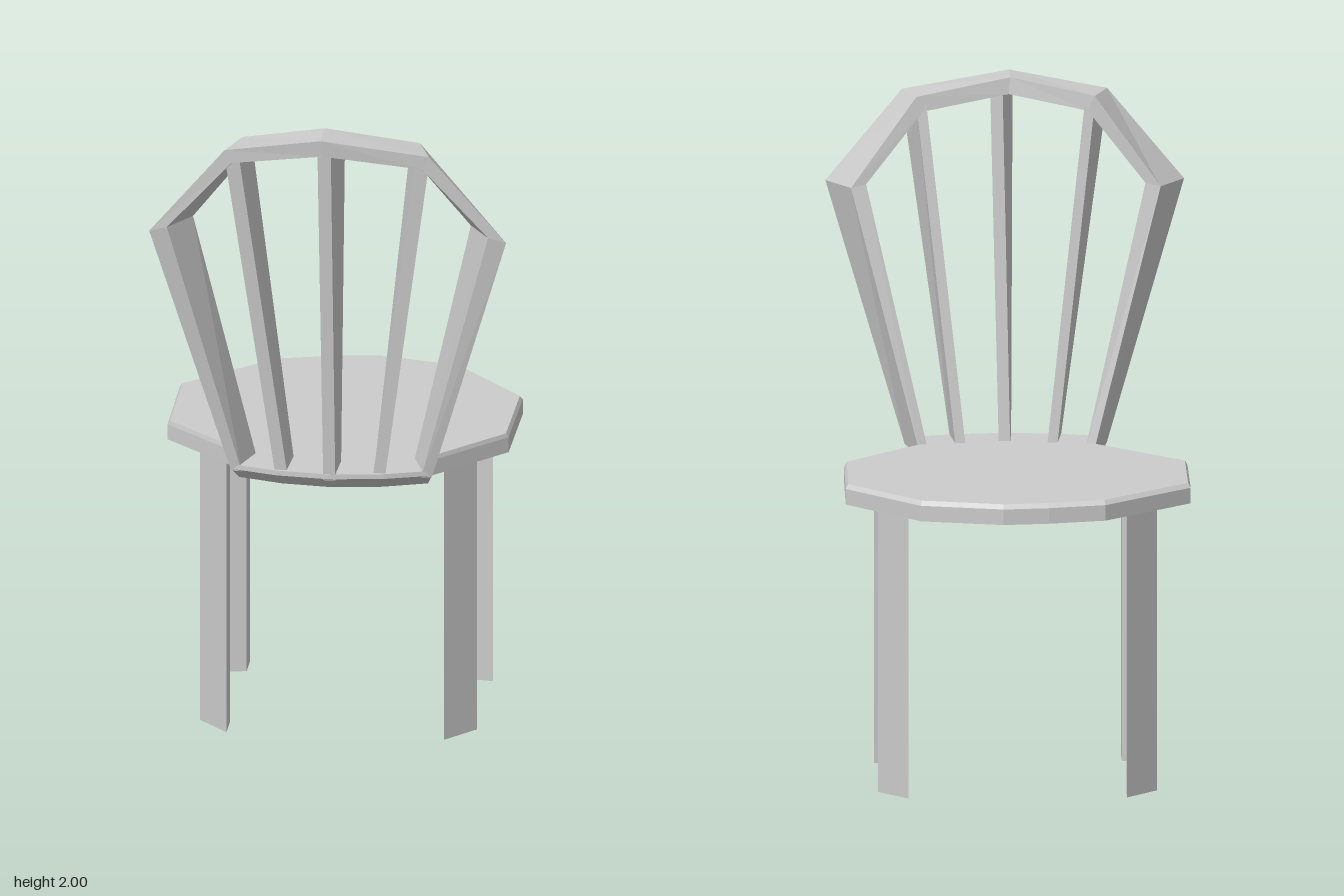
import * as THREE from 'three';

const material = new THREE.MeshStandardMaterial({ color: 0xcccccc, flatShading: true });

// Solid skinned through rings of equal point count, with both ends capped.
function loft(rings) {
  const pos = [];
  const tri = (a, b, c) => pos.push(...a, ...b, ...c);
  const n = rings[0].length;
  for (let r = 0; r < rings.length - 1; r++) {
    const p = rings[r], q = rings[r + 1];
    for (let i = 0; i < n; i++) {
      const j = (i + 1) % n;
      tri(p[i], p[j], q[j]);
      tri(p[i], q[j], q[i]);
    }
  }
  const first = rings[0], last = rings[rings.length - 1];
  for (let i = 1; i < n - 1; i++) {
    tri(first[0], first[i + 1], first[i]);
    tri(last[0], last[i], last[i + 1]);
  }
  // turn the faces outward if the enclosed volume comes out negative
  const a = new THREE.Vector3(), b = new THREE.Vector3(), c = new THREE.Vector3();
  let volume = 0;
  for (let i = 0; i < pos.length; i += 9) {
    a.fromArray(pos, i); b.fromArray(pos, i + 3); c.fromArray(pos, i + 6);
    volume += a.dot(b.cross(c));
  }
  if (volume < 0) {
    for (let i = 0; i < pos.length; i += 9) {
      for (let k = 0; k < 3; k++) {
        [pos[i + 3 + k], pos[i + 6 + k]] = [pos[i + 6 + k], pos[i + 3 + k]];
      }
    }
  }
  const geo = new THREE.BufferGeometry();
  geo.setAttribute('position', new THREE.Float32BufferAttribute(pos, 3));
  geo.computeVertexNormals();
  return geo;
}

// Plan outline [x, z] lifted to a height, optionally scaled about a centre.
const level = (plan, y, s = 1, cx = 0, cz = 0) =>
  plan.map(([x, z]) => [cx + (x - cx) * s, y, cz + (z - cz) * s]);

export function createModel() {
  const chair = new THREE.Group();
  chair.name = 'chair';
  const add = (name, rings) => {
    const mesh = new THREE.Mesh(loft(rings), material);
    mesh.name = name;
    chair.add(mesh);
  };

  // Faceted round seat with a slight top bevel
  const seat = [
    [-0.53, 0.06], [-0.53, -0.29], [-0.27, -0.55], [-0.1, -0.593], [0.035, -0.61],
    [0.28, -0.545], [0.495, -0.28], [0.49, 0.07], [0.27, 0.325], [-0.27, 0.325],
  ];
  add('seat', [
    level(seat, 0.86), level(seat, 0.907),
    level(seat, 0.92, 0.985, -0.02, 0.325),
  ]);

  // Bowed rear ledge carrying the slats, cut back underneath
  const ledge = [
    [0.26, 0.32], [0.3, 0.44], [0.16, 0.485], [0, 0.505],
    [-0.16, 0.485], [-0.3, 0.44], [-0.26, 0.32],
  ];
  const under = ledge.map(([x, z]) => [x * 0.94, z > 0.4 ? z - 0.06 : z]);
  add('rearLedge', [level(under, 0.86), level(ledge, 0.905), level(ledge, 0.92)]);

  // Three-sided legs, the flat face turned outward
  for (const z of [-1, 1]) {
    for (const x of [-1, 1]) {
      const cx = -0.012, cz = -0.112;
      const outer = x > 0 ? 0.412 : 0.416;
      const plan = [[outer, 0.222], [0.325, 0.327], [0.325, 0.235]]
        .map(([px, pz]) => [cx + x * px, cz + z * pz]);
      add((z > 0 ? 'rear' : 'front') + (x > 0 ? 'Left' : 'Right') + 'Leg',
        [level(plan, 0), level(plan, 0.87)]);
    }
  }

  // Fan-shaped frame: each section is rear outer, front outer, front inner, rear inner
  const half = [
    [[0.3, 0.9, 0.44], [0.26, 0.9, 0.325], [0.233, 0.9, 0.33], [0.268, 0.9, 0.445]],
    [[0.533, 1.68, 0.545], [0.46, 1.68, 0.42], [0.415, 1.69, 0.425], [0.48, 1.695, 0.55]],
    [[0.305, 1.95, 0.57], [0.265, 1.95, 0.445], [0.245, 1.905, 0.445], [0.285, 1.91, 0.57]],
  ];
  const top = [[-0.015, 2, 0.605], [-0.015, 2, 0.485], [-0.01, 1.95, 0.48], [-0.01, 1.95, 0.6]];
  const mirror = (ring) => ring.map(([x, y, z]) => [-x, y, z]);
  add('backFrame', [...half, top, ...half.map(mirror).reverse()]);

  // Slat section between its rear and front edges
  const section = (y, rear, zr, front, zf) => [
    [rear[0], y, zr], [rear[1], y, zr], [front[1], y, zf], [front[0], y, zf],
  ];
  add('centerSlat', [
    section(0.9, [-0.018, 0.018], 0.5, [-0.012, 0.022], 0.375),
    section(1.97, [-0.025, 0.015], 0.598, [0.008, 0.045], 0.48),
  ]);
  const side = [
    section(0.9, [0.127, 0.163], 0.475, [0.12, 0.15], 0.35),
    section(1.925, [0.262, 0.305], 0.568, [0.235, 0.265], 0.447),
  ];
  add('leftSlat', side);
  add('rightSlat', side.map(mirror));

  return chair;
}
